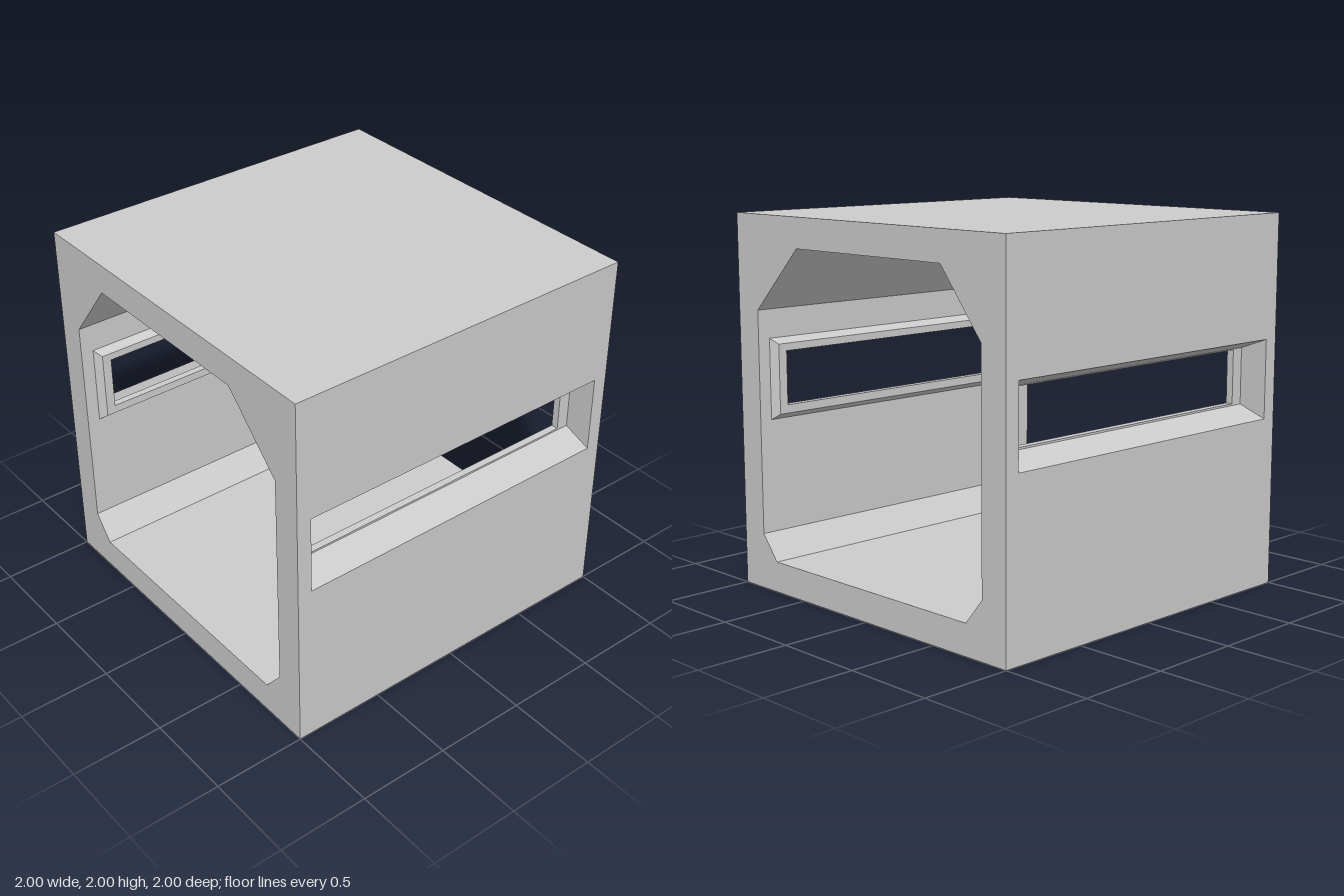
import * as THREE from 'three';
import { mergeGeometries } from 'three/addons/utils/BufferGeometryUtils.js';

const material = new THREE.MeshStandardMaterial({ color: 0xcccccc, flatShading: true });
const toVectors = (points) => points.map(([x, y]) => new THREE.Vector2(x, y));
const rect = (w, y0, y1) => [[-w, y0], [w, y0], [w, y1], [-w, y1]];

// Flat panel facing +z, with an optional hole
function panel(outline, hole) {
  const shape = new THREE.Shape(toVectors(outline));
  if (hole) shape.holes.push(new THREE.Path(toVectors(hole)));
  return new THREE.ShapeGeometry(shape);
}

// Quads between consecutive closed loops of [x, y, z] points; skip leaves out sides
function skin(loops, skip = []) {
  const pos = [];
  for (let k = 0; k + 1 < loops.length; k++) {
    const A = loops[k], B = loops[k + 1];
    A.forEach((a, i) => {
      if (skip.includes(i)) return;
      const j = (i + 1) % A.length;
      pos.push(...a, ...B[j], ...A[j], ...a, ...B[i], ...B[j]);
    });
  }
  const g = new THREE.BufferGeometry();
  g.setAttribute('position', new THREE.Float32BufferAttribute(pos, 3));
  g.computeVertexNormals();
  return g;
}

function makeMesh(name, ...parts) {
  const flat = parts.map((p) => {
    const g = p.index ? p.toNonIndexed() : p;
    g.deleteAttribute('uv');
    return g;
  });
  const mesh = new THREE.Mesh(mergeGeometries(flat), material);
  mesh.name = name;
  return mesh;
}

// Window profile from inner trim to outer recess: half width, bottom, top, z
const windowRings = [
  [0.93, 0.91, 1.345, 0.84],
  [0.90, 0.94, 1.315, 0.80],
  [0.85, 0.985, 1.275, 0.80],
  [0.85, 0.985, 1.275, 0.84],
  [0.92, 0.975, 1.28, 0.84],
  [0.92, 0.915, 1.34, 1],
];

// Wall with a recessed window slot and a raised inner frame
function makeWall(name) {
  const wall = new THREE.Group();
  wall.name = name;
  const first = windowRings[0], last = windowRings[windowRings.length - 1];
  const outer = panel(rect(1, 0, 2), rect(...last.slice(0, 3))).translate(0, 0, 1);
  const inner = panel(rect(1, 0.3, 1.5), rect(...first.slice(0, 3)))
    .rotateY(Math.PI).translate(0, 0, 0.84);
  const rings = windowRings.map(([w, y0, y1, z]) => rect(w, y0, y1).map(([x, y]) => [x, y, z]));
  wall.add(makeMesh('wallPanels', outer, inner), makeMesh('windowFrame', skin(rings)));
  return wall;
}

export function createModel() {
  const model = new THREE.Group();
  model.name = 'corridorSection';

  // Passage cross-section as [z, y]
  const passage = [
    [0.73, 0.165], [-0.73, 0.165], [-0.84, 0.3], [-0.84, 1.5],
    [-0.57, 1.84], [0.5, 1.84], [0.84, 1.5], [0.84, 0.3],
  ];

  // Floor, ceiling and corner chamfers; the two side walls are added below
  const lining = skin([-1, 1].map((x) => passage.map(([z, y]) => [x, y, z])), [2, 6]);
  model.add(makeMesh('passageLining', lining));

  // Open ends
  for (const side of [1, -1]) {
    const hole = passage.map(([z, y]) => [-side * z, y]);
    const end = panel(rect(1, 0, 2), hole).rotateY(side * Math.PI / 2).translate(side, 0, 0);
    model.add(makeMesh(side > 0 ? 'leftEnd' : 'rightEnd', end));
  }

  // Roof and underside
  model.add(makeMesh('roof', new THREE.PlaneGeometry(2, 2).rotateX(-Math.PI / 2).translate(0, 2, 0)));
  model.add(makeMesh('underside', new THREE.PlaneGeometry(2, 2).rotateX(Math.PI / 2)));

  // Window walls
  const back = makeWall('backWall');
  back.rotation.y = Math.PI;
  model.add(makeWall('frontWall'), back);
  return model;
}
